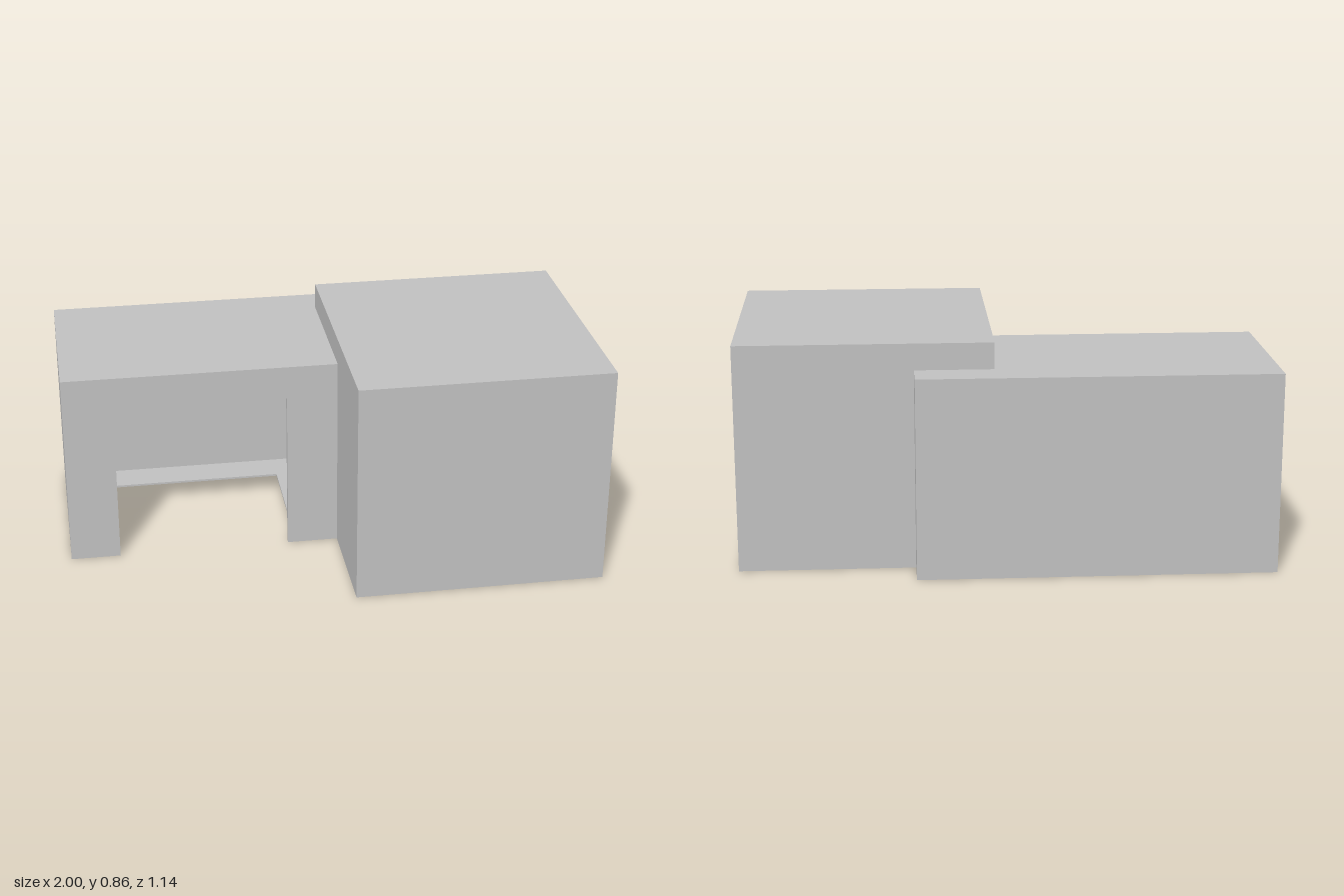
import * as THREE from 'three';

export function createModel() {
  const model = new THREE.Group();
  const grey = new THREE.MeshStandardMaterial({ color: 0xc0c0c0, side: THREE.DoubleSide });
  grey.name = 'light grey';

  const add = (name, geometry, x = 0, y = 0, z = 0) => {
    const mesh = new THREE.Mesh(geometry, grey);
    mesh.name = name;
    mesh.position.set(x, y, z);
    model.add(mesh);
    return mesh;
  };
  const outline = points => new THREE.Shape(points.map(([x, y]) => new THREE.Vector2(x, y)));
  const extrude = (points, depth) =>
    new THREE.ExtrudeGeometry(outline(points), { depth, bevelEnabled: false });

  // Overall limits of the two volumes
  const W = { x0: -1, x1: 0.34, z0: -0.573, z1: 0.12, h: 0.76 };
  const B = { x0: 0.045, x1: 1, z0: -0.435, z1: 0.57, h: 0.86 };
  const floor = 0.008;

  // Tall closed volume
  add('mainBlock', new THREE.BoxGeometry(B.x1 - B.x0, B.h, B.z1 - B.z0),
    (B.x0 + B.x1) / 2, B.h / 2, (B.z0 + B.z1) / 2);

  // Hollow wing: thin back, sides and roof
  const width = W.x1 - W.x0, depth = W.z1 - W.z0;
  const midX = (W.x0 + W.x1) / 2, midZ = (W.z0 + W.z1) / 2;
  add('wingBackWall', new THREE.PlaneGeometry(width, W.h), midX, W.h / 2, W.z0).rotation.y = Math.PI;
  add('wingRoof', new THREE.PlaneGeometry(width, depth), midX, W.h, midZ).rotation.x = -Math.PI / 2;
  add('wingOuterWall', new THREE.PlaneGeometry(depth, W.h), W.x0, W.h / 2, midZ).rotation.y = -Math.PI / 2;
  const gap = B.z0 - W.z0;
  add('wingEndWall', new THREE.PlaneGeometry(gap, W.h), W.x1, W.h / 2, W.z0 + gap / 2).rotation.y = Math.PI / 2;

  // Front wall with the wide doorway
  add('wingFrontWall', extrude([
    [W.x0, 0], [-0.81, 0], [-0.81, 0.63], [-0.15, 0.63],
    [-0.15, 0], [B.x0, 0], [B.x0, W.h], [W.x0, W.h],
  ], 0.022), 0, 0, W.z1 - 0.022);

  // Floor ledge around the open bay (shape y becomes -z)
  add('wingFloor', extrude([
    [W.x0, -W.z1 + 0.022], [-0.84, -W.z1 + 0.022], [-0.84, 0.44], [-0.12, 0.44],
    [-0.12, -W.z1 + 0.022], [B.x0, -W.z1 + 0.022], [B.x0, -B.z0], [W.x1, -B.z0],
    [W.x1, -W.z0], [W.x0, -W.z0],
  ], floor)).rotation.x = -Math.PI / 2;

  return model;
}
